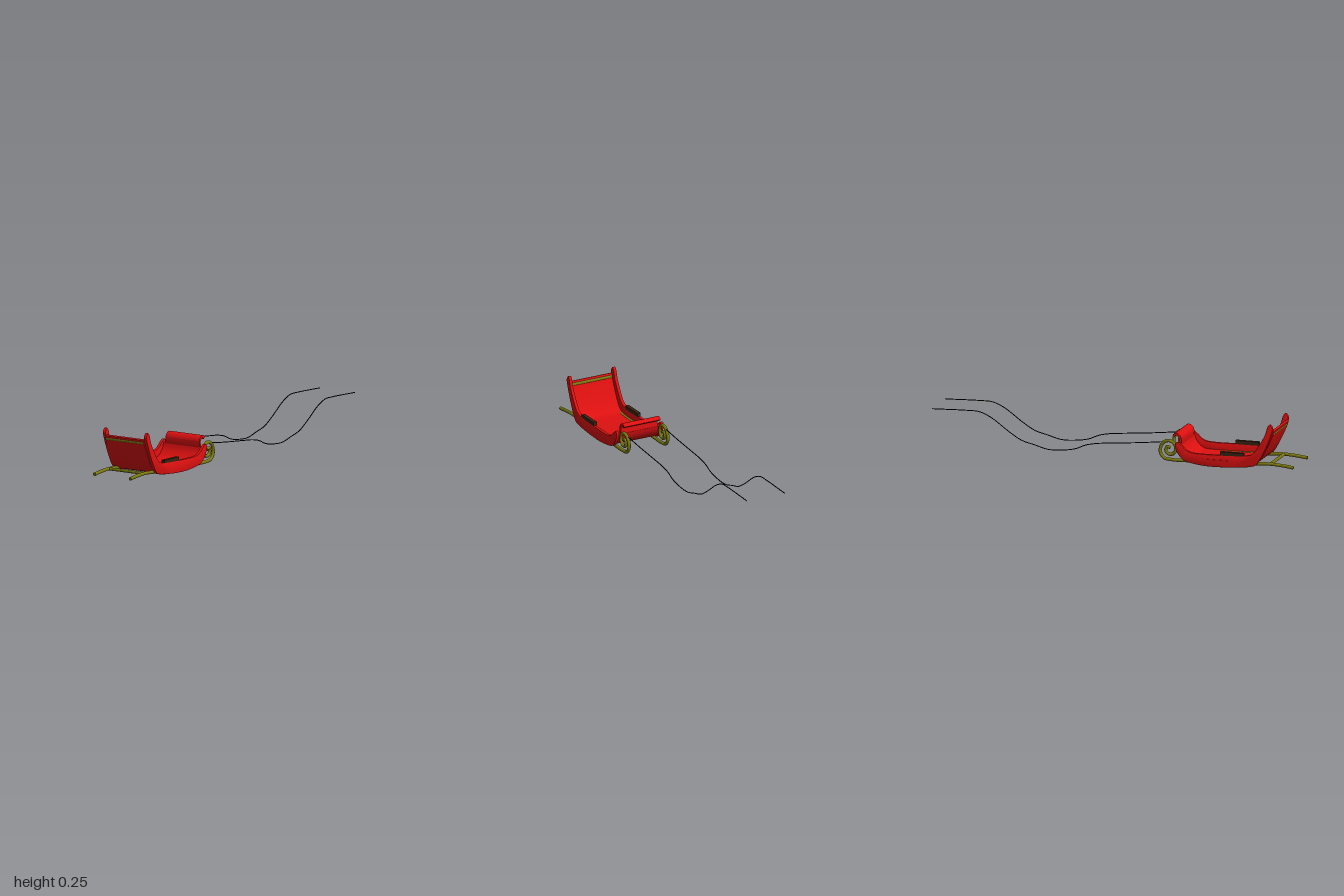
import * as THREE from 'three';
import { toCreasedNormals } from 'three/addons/utils/BufferGeometryUtils.js';

const red = new THREE.MeshStandardMaterial({ color: 0xdd1010 });
const olive = new THREE.MeshStandardMaterial({ color: 0x7c7a10 });
const brown = new THREE.MeshStandardMaterial({ color: 0x3a2412 });
const black = new THREE.MeshStandardMaterial({ color: 0x080808 });
const grey = new THREE.MeshStandardMaterial({ color: 0xcccccc });

const pts2 = (a) => a.map(([x, y]) => new THREE.Vector2(x, y));

function add(parent, name, geometry, material, x = 0, y = 0, z = 0) {
  const mesh = new THREE.Mesh(geometry, material);
  mesh.name = name;
  mesh.position.set(x, y, z);
  parent.add(mesh);
  return mesh;
}

// Extrude an outline along z, centred on z = 0
function slab(outline, width, bevel = 0) {
  const geo = new THREE.ExtrudeGeometry(new THREE.Shape(outline), {
    depth: width - 2 * bevel, bevelEnabled: bevel > 0, bevelSize: bevel, bevelThickness: bevel,
    bevelOffset: -bevel, bevelSegments: 2,
  });
  geo.translate(0, 0, -width / 2 + bevel);
  return toCreasedNormals(geo, 0.6);
}

// Sheet of even thickness following a profile
function sheet(profile, thickness, width, n = 48) {
  const curve = new THREE.SplineCurve(pts2(profile));
  const a = [], b = [];
  for (let i = 0; i <= n; i++) {
    const p = curve.getPointAt(i / n), t = curve.getTangentAt(i / n);
    const off = new THREE.Vector2(-t.y, t.x).multiplyScalar(thickness / 2);
    a.push(p.clone().add(off));
    b.unshift(p.clone().sub(off));
  }
  return slab([...a, ...b], width);
}

// Round tube along a path in the xy plane, with closed ends
function rod(parent, name, path, radius, material, z, segments, sides) {
  const group = new THREE.Group();
  group.name = name;
  group.position.z = z;
  parent.add(group);
  const curve = new THREE.CatmullRomCurve3(path.map(([x, y]) => new THREE.Vector3(x, y, 0)));
  add(group, name + 'Tube', new THREE.TubeGeometry(curve, segments, radius, sides), material);
  for (const t of [0, 1]) {
    const p = curve.getPoint(t);
    const cap = add(group, name + 'End', new THREE.CircleGeometry(radius, sides), material, p.x, p.y, 0);
    cap.lookAt(p.clone().addScaledVector(curve.getTangent(t), t ? 1 : -1));
  }
}

// Round bar lying across the sleigh
function crossBar(parent, name, x, y, radius, length, material) {
  add(parent, name, new THREE.CylinderGeometry(radius, radius, length, 16), material, x, y, 0).rotation.x = Math.PI / 2;
}

export function createModel() {
  const model = new THREE.Group();
  model.name = 'sleigh';
  const body = new THREE.Group();
  body.name = 'body';
  body.position.z = 0.0025;
  model.add(body);

  // Curved side panels
  const outline = new THREE.SplineCurve(pts2([
    [-0.886, 0.24], [-0.875, 0.251], [-0.862, 0.238], [-0.846, 0.19], [-0.812, 0.13], [-0.782, 0.09],
    [-0.74, 0.073], [-0.6, 0.066], [-0.47, 0.065], [-0.42, 0.075], [-0.39, 0.1], [-0.367, 0.117],
    [-0.353, 0.11], [-0.355, 0.08], [-0.375, 0.045], [-0.41, 0.018], [-0.48, 0.005], [-0.56, 0.0],
    [-0.68, 0.005], [-0.78, 0.018], [-0.812, 0.045], [-0.845, 0.105], [-0.873, 0.17], [-0.89, 0.22],
    [-0.886, 0.24],
  ])).getPoints(120).slice(0, -1);
  for (const s of [-1, 1]) {
    add(body, 'sidePanel', slab(outline, 0.018, 0.003), red, 0, 0, s * 0.1335);
    // Arm pad on the panel's top edge
    add(body, 'armPad', new THREE.BoxGeometry(0.13, 0.02, 0.02), brown, -0.665, 0.075, s * 0.132);
  }

  // Backrest, floor and front wall as one bent sheet
  add(body, 'shell', sheet([
    [-0.888, 0.215], [-0.872, 0.17], [-0.83, 0.085], [-0.792, 0.037], [-0.74, 0.024], [-0.6, 0.021],
    [-0.46, 0.021], [-0.415, 0.03], [-0.38, 0.065], [-0.367, 0.1],
  ], 0.013, 0.252), red);

  // Rolled lip on top of the front wall
  add(body, 'frontCurl', sheet([
    [-0.368, 0.095], [-0.37, 0.115], [-0.369, 0.135], [-0.357, 0.15], [-0.342, 0.152], [-0.332, 0.142],
  ], 0.013, 0.22, 24), red);

  // Rails and supports across the body
  crossBar(body, 'backrestBar', -0.882, 0.197, 0.0095, 0.246, olive);
  crossBar(body, 'rearCrossBar', -0.87, 0.032, 0.008, 0.23, olive);
  for (const x of [-0.72, -0.48]) crossBar(body, 'floorBar', x, 0.013, 0.006, 0.23, grey);

  // Runners ending in a spiral, and the reins
  const runner = [
    [-1, 0.022], [-0.93, 0.03], [-0.86, 0.033], [-0.76, 0.026], [-0.6, 0.02], [-0.42, 0.017], [-0.33, 0.016],
    [-0.285, 0.023], [-0.264, 0.05], [-0.266, 0.085], [-0.288, 0.112], [-0.318, 0.117], [-0.343, 0.098],
    [-0.347, 0.068], [-0.329, 0.046], [-0.304, 0.048], [-0.293, 0.068], [-0.303, 0.086], [-0.319, 0.08],
  ];
  const rein = [
    [-0.28, 0.109], [-0.15, 0.094], [0, 0.08], [0.09, 0.071], [0.15, 0.058], [0.21, 0.033], [0.29, 0.02],
    [0.36, 0.019], [0.435, 0.038], [0.505, 0.057], [0.57, 0.095], [0.675, 0.168], [0.74, 0.194],
    [0.8, 0.196], [1, 0.19],
  ];
  for (const s of [-1, 1]) {
    rod(body, 'runner', runner, 0.009, olive, s * 0.1165, 160, 12);
    rod(body, 'rein', rein, 0.0025, black, s * 0.1135, 120, 8);
  }

  // Small strip on the outside of the right panel
  add(body, 'sideStrip', new THREE.BoxGeometry(0.14, 0.02, 0.006), red, -0.6, 0.03, -0.1425);

  return model;
}
